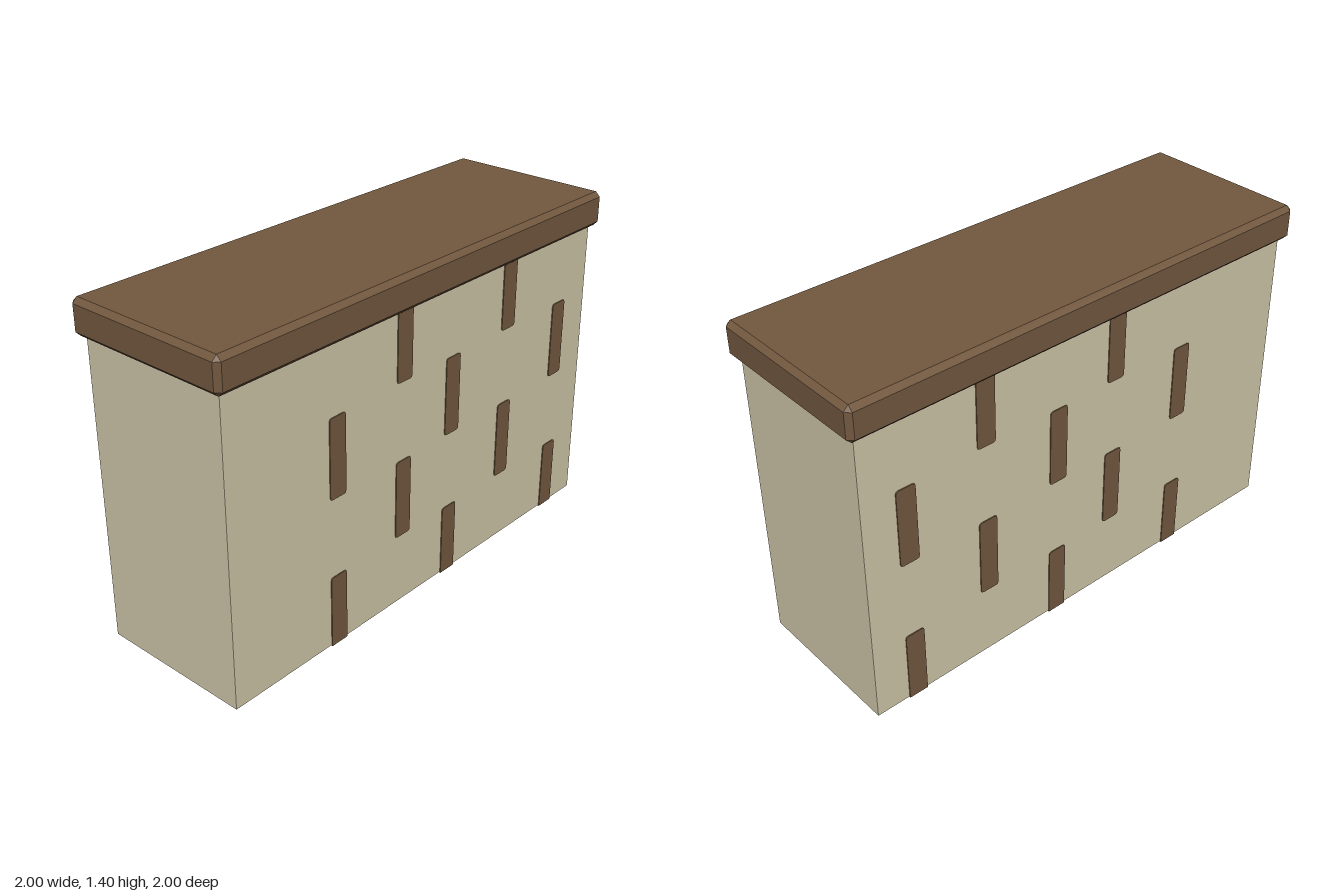
import * as THREE from 'three';
import { ConvexGeometry } from 'three/addons/geometries/ConvexGeometry.js';

// Box with every edge chamfered by c
function chamferBox(hx, hy, hz, c) {
  const pts = [];
  for (const x of [-1, 1]) for (const y of [-1, 1]) for (const z of [-1, 1]) {
    pts.push(new THREE.Vector3(x * hx, y * (hy - c), z * (hz - c)));
    pts.push(new THREE.Vector3(x * (hx - c), y * hy, z * (hz - c)));
    pts.push(new THREE.Vector3(x * (hx - c), y * (hy - c), z * hz));
  }
  return new ConvexGeometry(pts);
}

// Upright bar with rounded face corners, running through the wall
function barGeometry(w, y0, y1, depth) {
  const r = 0.012, b = y0 === 0 ? 0 : r, h = w / 2;
  const s = new THREE.Shape();
  s.moveTo(-h + b, y0);
  s.lineTo(h - b, y0);
  s.quadraticCurveTo(h, y0, h, y0 + b);
  s.lineTo(h, y1 - r);
  s.quadraticCurveTo(h, y1, h - r, y1);
  s.lineTo(-h + r, y1);
  s.quadraticCurveTo(-h, y1, -h, y1 - r);
  s.lineTo(-h, y0 + b);
  s.quadraticCurveTo(-h, y0, -h + b, y0);
  return new THREE.ExtrudeGeometry(s, { depth, bevelEnabled: false, curveSegments: 2 })
    .translate(0, 0, -depth / 2);
}

export function createModel() {
  const stone = new THREE.MeshStandardMaterial({ name: 'paleStone', color: 0xcfc6a8 });
  const wood = new THREE.MeshStandardMaterial({ name: 'brownWood', color: 0x72583f });
  const model = new THREE.Group();
  model.name = 'wallSegment';

  function add(name, geometry, material, x = 0, y = 0) {
    const mesh = new THREE.Mesh(geometry, material);
    mesh.name = name;
    mesh.position.set(x, y, 0);
    wall.add(mesh);
  }

  // Wall stands diagonally: its length runs along local x
  const wall = new THREE.Group();
  wall.name = 'wall';
  wall.rotation.y = Math.PI / 4;
  model.add(wall);

  const L = 1.036, W = 0.329;
  add('wallBody', new THREE.BoxGeometry(2 * L, 1.296, 2 * W), stone, 0, 0.652);
  add('cap', chamferBox(1.07, 0.0725, 0.363, 0.02), wood, 0, 1.3275);

  // Staggered bars: outer columns and in-between columns alternate by row
  const rows = [[0, 0.307], [0.307, 0.64], [0.64, 0.97], [0.97, 1.3]];
  const columns = [[-0.5, 0.15, 0.85], [-0.138, 0.495]];
  rows.forEach(([y0, y1], i) => {
    for (const x of columns[i % 2]) {
      add('wallBar', barGeometry(0.083, y0, y1, 2 * W + 0.008), wood, x);
    }
  });
  return model;
}
